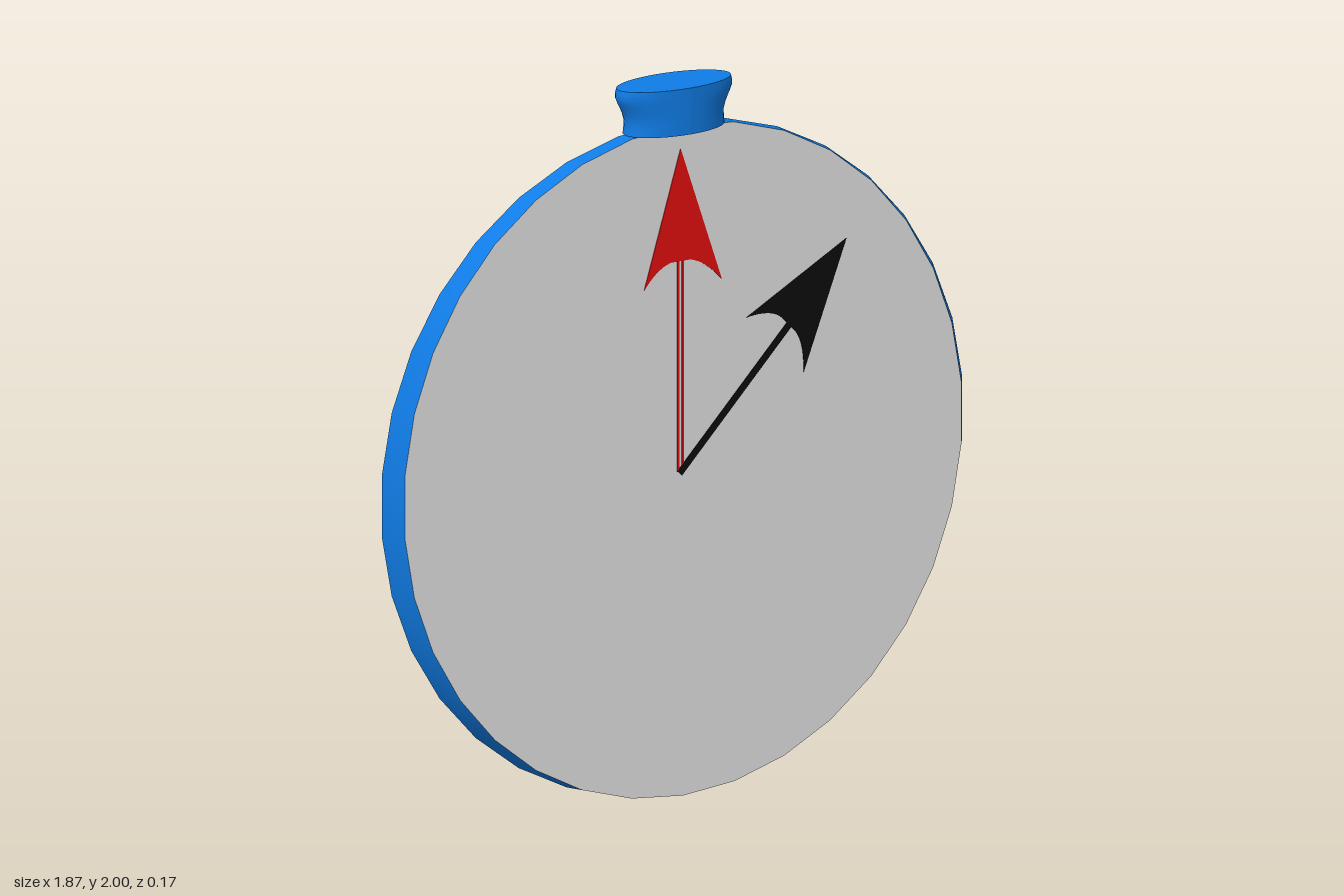
import * as THREE from 'three';

const blue = new THREE.MeshStandardMaterial({ color: 0x107ce6 });
blue.name = 'caseBlue';
const white = new THREE.MeshStandardMaterial({ color: 0xe4e4e4 });
white.name = 'dialWhite';
const red = new THREE.MeshStandardMaterial({ color: 0xe60f0f });
red.name = 'handRed';
const black = new THREE.MeshStandardMaterial({ color: 0x0d0d0d });
black.name = 'handBlack';

const FRONT = 0.023; // z of the dial

// Moves every vertex of a geometry by a rule, then refreshes the normals
function warp(geometry, rule) {
  const pos = geometry.attributes.position;
  const v = new THREE.Vector3();
  for (let i = 0; i < pos.count; i++) {
    rule(v.fromBufferAttribute(pos, i));
    pos.setXYZ(i, v.x, v.y, v.z);
  }
  geometry.computeVertexNormals();
  return geometry;
}

function addMesh(parent, name, geometry, material) {
  const mesh = new THREE.Mesh(geometry, material);
  mesh.name = name;
  parent.add(mesh);
  return mesh;
}

// Flat plate lying just above the dial
function addPlate(parent, name, shape, material) {
  const geometry = new THREE.ExtrudeGeometry(shape, { depth: 0.002, bevelEnabled: false });
  addMesh(parent, name, geometry, material).position.z = FRONT;
}

// Thin bar between two points
function bar(x0, y0, x1, y1, width) {
  const d = new THREE.Vector2(x1 - x0, y1 - y0).setLength(width / 2);
  return new THREE.Shape([
    new THREE.Vector2(x0 + d.y, y0 - d.x), new THREE.Vector2(x1 + d.y, y1 - d.x),
    new THREE.Vector2(x1 - d.y, y1 + d.x), new THREE.Vector2(x0 - d.y, y0 + d.x),
  ]);
}

// Arrowhead: tip, two barbs and a curved notch between them
function arrowHead(tip, barbA, notchA, notchB, barbB, bendA, bendB) {
  const s = new THREE.Shape();
  s.moveTo(...tip);
  s.lineTo(...barbA);
  s.quadraticCurveTo(...bendA, ...notchA);
  s.lineTo(...notchB);
  s.quadraticCurveTo(...bendB, ...barbB);
  s.closePath();
  return s;
}

export function createModel() {
  const model = new THREE.Group();
  model.name = 'pocketWatch';

  // Round case, narrowing sideways only towards the dial
  const disc = new THREE.CylinderGeometry(0.94, 0.94, FRONT * 2, 34).rotateX(Math.PI / 2);
  warp(disc, (v) => {
    v.x = v.z > 0 ? v.x * 0.959 + 0.004 : v.x - 0.002;
    v.y += 0.94;
  });
  addMesh(model, 'caseAndDial', disc, [blue, white, blue]);

  // Oval crown: waisted in x, straight in z
  const profile = new THREE.SplineCurve([
    new THREE.Vector2(0.155, 1.87), new THREE.Vector2(0.152, 1.91),
    new THREE.Vector2(0.166, 1.945), new THREE.Vector2(0.181, 1.975),
    new THREE.Vector2(0.177, 2.0),
  ]);
  const crown = new THREE.CylinderGeometry(1, 1, 1, 40, 8);
  warp(crown, (v) => {
    const p = profile.getPoint(v.y + 0.5);
    v.set(v.x * p.x - 0.012, p.y, v.z * 0.085);
  });
  addMesh(model, 'crown', crown, blue);

  // Red hand pointing straight up, with a split shaft
  const redHand = new THREE.Group();
  redHand.name = 'redHand';
  model.add(redHand);
  addPlate(redHand, 'redArrowHead', arrowHead(
    [-0.005, 1.815], [-0.122, 1.435], [-0.035, 1.5], [0.025, 1.5], [0.128, 1.43],
    [-0.08, 1.49], [0.075, 1.49]), red);
  for (const x of [-0.012, 0.002]) {
    addPlate(redHand, 'redShaft', bar(x, 0.91, x, 1.51, 0.006), red);
  }

  // Black hand pointing to the upper right
  const blackHand = new THREE.Group();
  blackHand.name = 'blackHand';
  model.add(blackHand);
  addPlate(blackHand, 'blackArrowHead', arrowHead(
    [0.53, 1.485], [0.208, 1.31], [0.33, 1.285], [0.36, 1.255], [0.392, 1.13],
    [0.295, 1.325], [0.395, 1.22]), black);
  addPlate(blackHand, 'blackShaft', bar(-0.008, 0.905, 0.36, 1.285, 0.02), black);

  return model;
}
